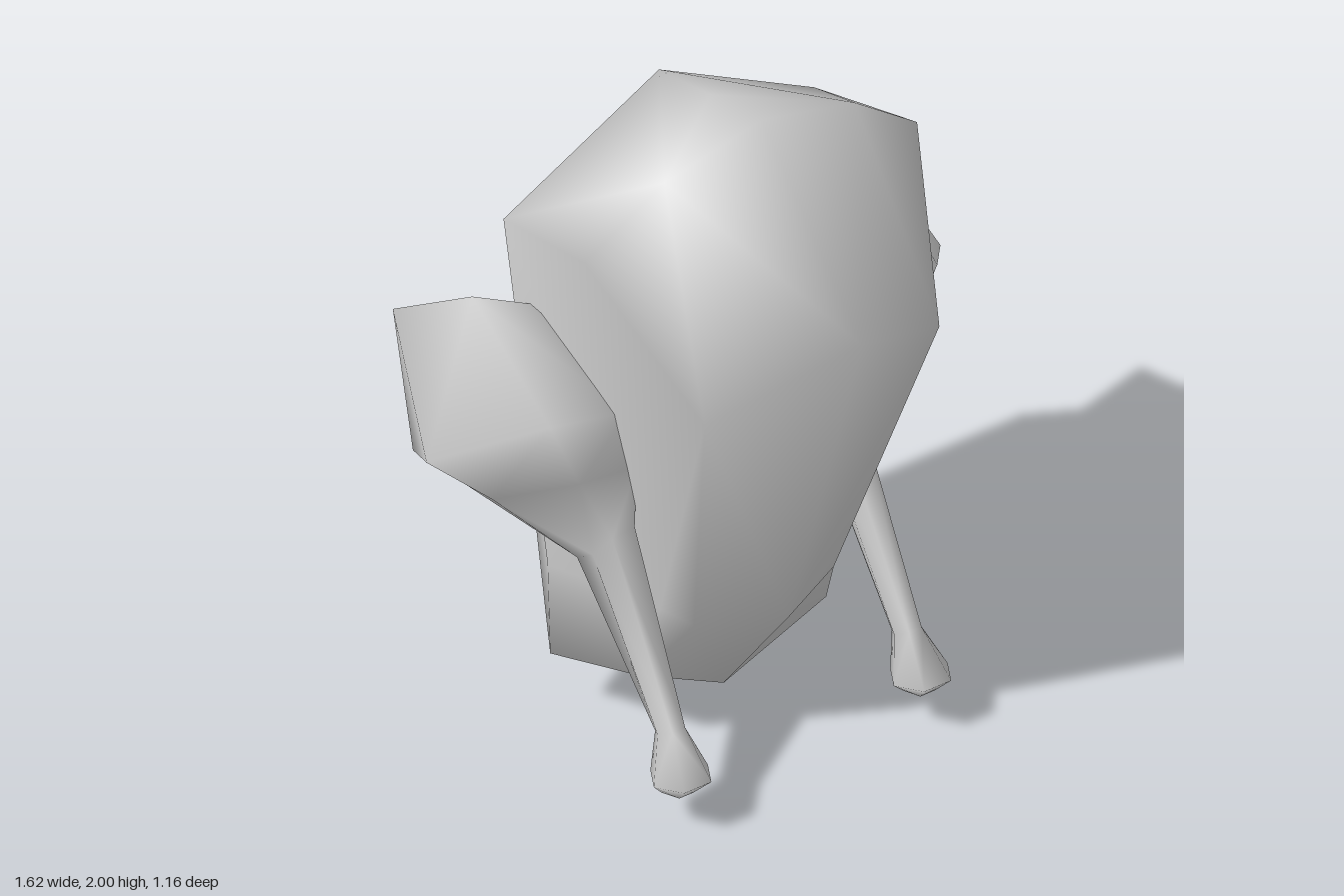
import * as THREE from 'three';
import { mergeVertices } from 'three/addons/utils/BufferGeometryUtils.js';

const distance = (a, b) => Math.hypot(a[0] - b[0], a[1] - b[1], a[2] - b[2]);

// Smooth skin over rings listed bottom to top, closed by a point at each end.
// Each four-sided patch is split along its shorter diagonal; a corner repeated
// within a ring narrows its patch to a triangle.
function loft(name, rings, bottom, top) {
  const n = rings[0].length;
  const points = [...rings.flat(), bottom, top];
  const lo = points.length - 2, hi = points.length - 1, last = (rings.length - 1) * n;
  const index = [];
  for (let i = 0; i < n; i++) {
    const j = (i + 1) % n;
    for (let r = 0; r < last; r += n) {
      const a = r + i, b = r + j, c = b + n, d = a + n;
      if (distance(points[a], points[c]) < distance(points[b], points[d])) {
        index.push(a, b, c, a, c, d);
      } else {
        index.push(a, b, d, b, c, d);
      }
    }
    index.push(lo, j, i, hi, last + i, last + j);
  }
  const skin = new THREE.BufferGeometry();
  skin.setAttribute('position', new THREE.Float32BufferAttribute(points.flat(), 3));
  skin.setIndex(index);
  const geometry = mergeVertices(skin);
  geometry.computeVertexNormals();
  const mesh = new THREE.Mesh(geometry, new THREE.MeshStandardMaterial({ color: 0xcccccc }));
  mesh.name = name;
  return mesh;
}

const mirror = ([x, y, z]) => [-x, y, z];

// Half ring (front centre, round the left side, to back centre) to a full ring.
const fullRing = (half) => [...half, ...half.slice(1, -1).reverse().map(mirror)];

// Six-sided ring for the ankle and foot.
function hexRing(x, y, z, rx, rz, tilt = 0) {
  return Array.from({ length: 6 }, (_, i) => {
    const a = (240 + 60 * i) * Math.PI / 180;
    const dz = -rz * Math.sin(a);
    return [x + rx * Math.cos(a), y + tilt * dz, z + dz];
  });
}

function createBody() {
  const rings = [
    // tail end
    [[0, 0.08, -0.04], [0, 0.08, -0.04], [0.295, 0.255, 0],
      [0.385, 0.2, -0.27], [0, 0.21, -0.51], [0, 0.21, -0.51]],
    // belly
    [[0, 0.47, 0.25], [0.22, 0.47, 0.14], [0.25, 0.47, 0.03],
      [0.4, 0.5, -0.26], [0.29, 0.57, -0.49], [0, 0.57, -0.49]],
    // breast and back
    [[0, 1.55, 0.58], [0.37, 1.34, 0.4], [0.525, 1.735, 0.08],
      [0.49, 1.61, -0.33], [0.285, 1.27, -0.58], [0, 1.27, -0.58]],
    // shoulders
    [[0, 2, 0.13], [0.3, 1.92, 0.12], [0.3, 1.92, 0.12],
      [0.3, 1.92, 0.12], [0, 1.88, -0.33], [0, 1.88, -0.33]],
  ].map(fullRing);
  return loft('body', rings, [0, 0, -0.28], [0, 1.94, -0.1]);
}

function createLeg(side) {
  let rings = [
    // foot knob
    hexRing(0.38, 0.11, 0.285, 0.045, 0.055),
    hexRing(0.378, 0.155, 0.305, 0.085, 0.088, 0.12),
    // ankle
    hexRing(0.373, 0.27, 0.25, 0.04, 0.045, 0.5),
    // knee
    [[0.33, 0.77, 0.03], [0.4, 0.76, 0.03], [0.42, 0.68, -0.03],
      [0.42, 0.63, -0.1], [0.36, 0.63, -0.1], [0.33, 0.7, -0.04]],
    // lower thigh
    [[0.33, 0.97, 0.04], [0.51, 0.99, 0.04], [0.655, 0.89, -0.145],
      [0.67, 0.85, -0.48], [0.41, 0.845, -0.47], [0.3, 0.95, -0.2]],
    // upper thigh
    [[0.36, 1.16, 0.04], [0.61, 1.22, 0.05], [0.81, 1.03, -0.22],
      [0.67, 1.25, -0.57], [0.38, 1.17, -0.48], [0.33, 1.3, -0.25]],
  ];
  let bottom = [0.385, 0.1, 0.285], top = [0.61, 1.43, -0.3];
  if (side < 0) {
    rings = rings.map((ring) => ring.map(mirror).reverse());
    bottom = mirror(bottom);
    top = mirror(top);
  }
  return loft(side > 0 ? 'leftLeg' : 'rightLeg', rings, bottom, top);
}

export function createModel() {
  const model = new THREE.Group();
  model.name = 'poultry';
  model.add(createBody(), createLeg(1), createLeg(-1));
  return model;
}
